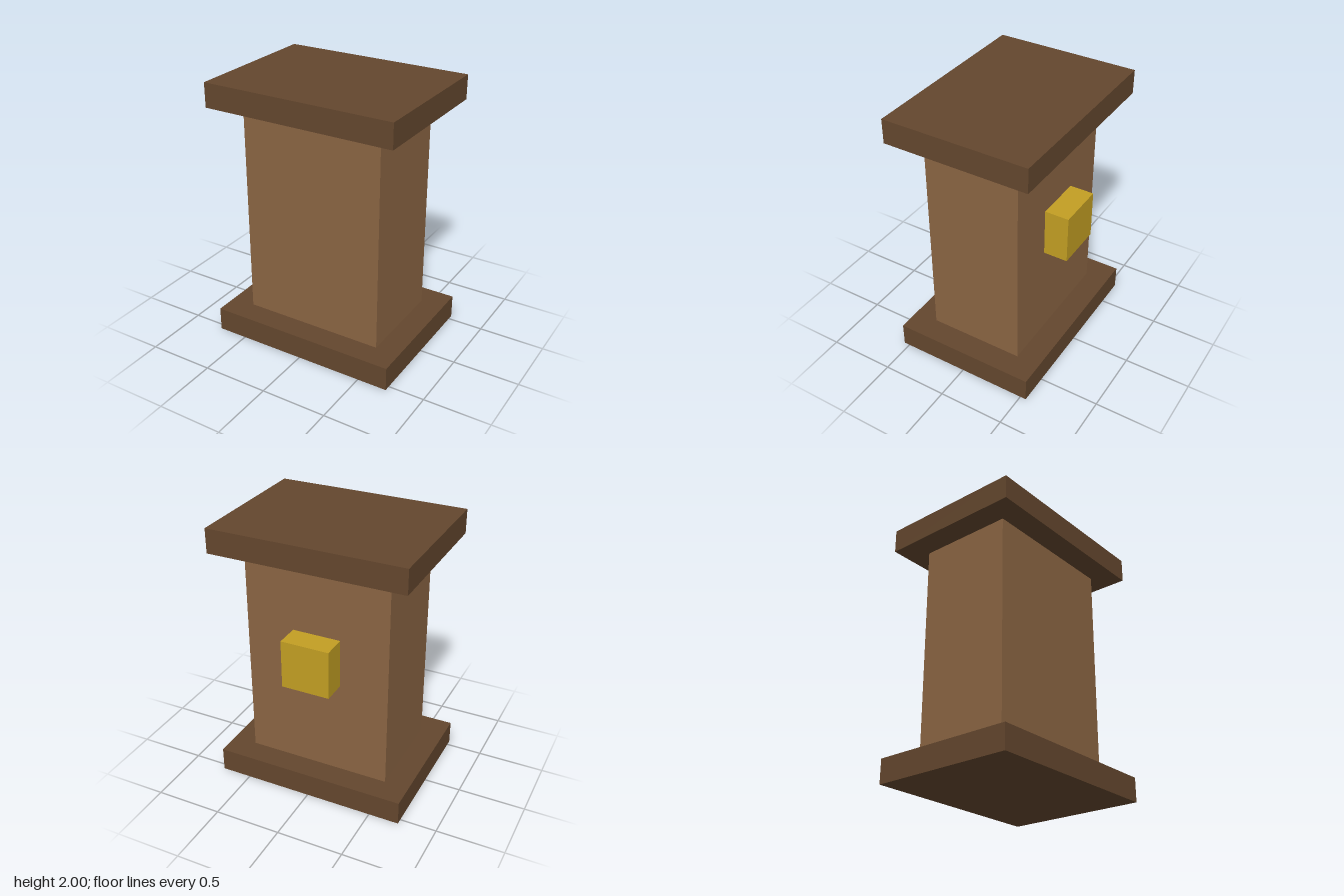
import * as THREE from 'three';

const U = 2 / 11; // the model is 11 modules tall

export function createModel() {
  const group = new THREE.Group();

  const material = (name, color) => {
    const m = new THREE.MeshStandardMaterial({ color });
    m.name = name;
    return m;
  };
  const darkWood = material('dark wood', 0x64472e);
  const lightWood = material('light wood', 0x8b6543);
  const gold = material('gold', 0xc39f23);

  // Box sized in modules, standing on height y, centred at depth z
  const block = (name, mat, [w, h, d], y, z = 0) => {
    const mesh = new THREE.Mesh(new THREE.BoxGeometry(w * U, h * U, d * U), mat);
    mesh.name = name;
    mesh.position.set(0, (y + h / 2) * U, z * U);
    group.add(mesh);
  };

  block('basePlate', darkWood, [8, 1, 6], 0);
  block('body', lightWood, [6, 9, 4], 1);
  block('topPlate', darkWood, [8, 1, 6], 10);

  // Block on the back face
  block('backKnob', gold, [2, 2, 1], 5, -2.5);

  return group;
}
